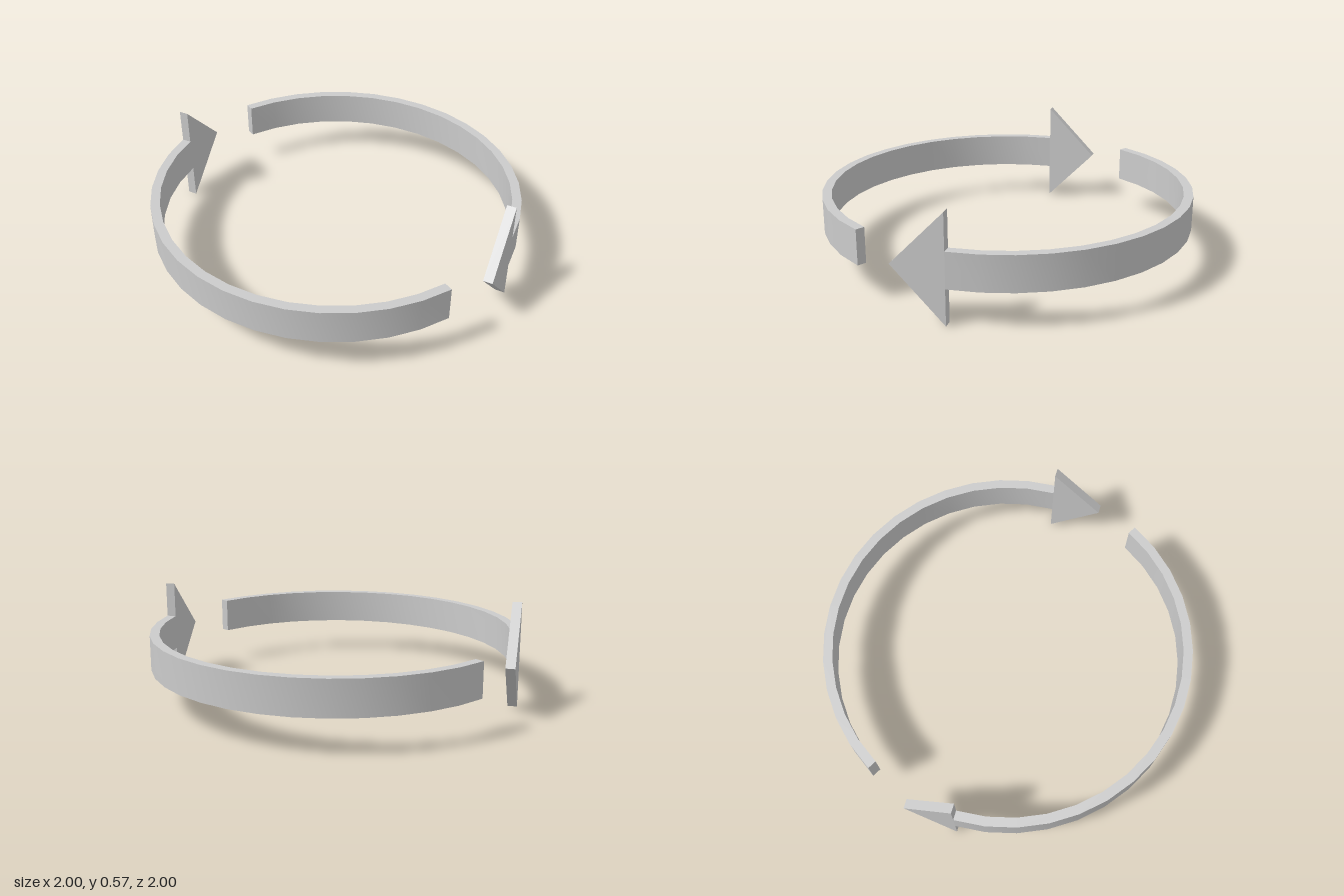
import * as THREE from 'three';
import { toCreasedNormals } from 'three/addons/utils/BufferGeometryUtils.js';

const OUTER = 1, THICK = 0.05;
const MID_Y = 0.283, BAND_H = 0.187;
const HEAD_L = 0.275;
const SWEEP = THREE.MathUtils.degToRad(150);

// Curved band: ring sector extruded upwards
function bandGeometry() {
  const s = new THREE.Shape();
  s.absarc(0, 0, OUTER, 0, SWEEP, false);
  s.absarc(0, 0, OUTER - THICK, SWEEP, 0, true);
  const g = new THREE.ExtrudeGeometry(s, { depth: BAND_H, bevelEnabled: false, curveSegments: 8 });
  g.rotateX(-Math.PI / 2).translate(0, MID_Y - BAND_H / 2, 0);
  return toCreasedNormals(g, 0.6);
}

// Flat triangular head, standing upright and pointing to +z
function headGeometry() {
  const s = new THREE.Shape();
  s.moveTo(0, -MID_Y);
  s.lineTo(HEAD_L, 0);
  s.lineTo(0, MID_Y);
  s.closePath();
  const g = new THREE.ExtrudeGeometry(s, { depth: THICK, bevelEnabled: false });
  return g.rotateY(-Math.PI / 2).translate(OUTER, MID_Y, 0);
}

export function createModel() {
  const model = new THREE.Group();
  model.name = 'circularArrows';
  const grey = new THREE.MeshStandardMaterial({ color: 0xcccccc });
  const band = bandGeometry(), head = headGeometry();

  // Two identical arrows, half a turn apart
  ['backArrow', 'frontArrow'].forEach((name, i) => {
    const arrow = new THREE.Group();
    arrow.name = name;
    const bandMesh = new THREE.Mesh(band, grey);
    bandMesh.name = 'curvedBand';
    const headMesh = new THREE.Mesh(head, grey);
    headMesh.name = 'arrowHead';
    arrow.add(bandMesh, headMesh);
    arrow.rotation.y = i * Math.PI;
    model.add(arrow);
  });
  return model;
}
